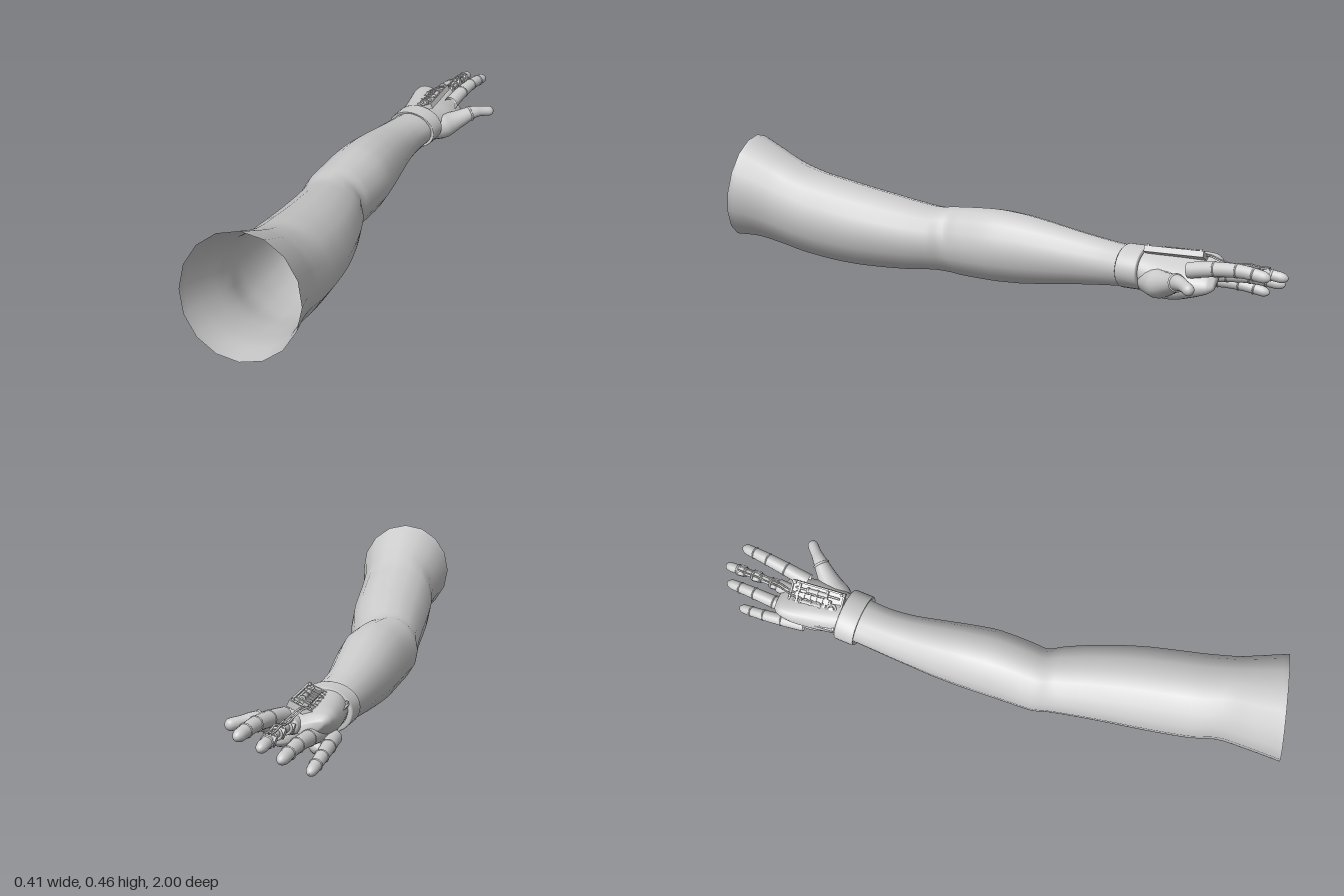
import * as THREE from 'three';

const V = (x, y, z) => new THREE.Vector3(x, y, z);
const UP = V(0, 1, 0);
const ROLL = 0.42; // the hand is rolled so the thumb side is higher
const mat = new THREE.MeshStandardMaterial({ color: 0xcccccc, side: THREE.DoubleSide });

function add(parent, name, geo) {
  const m = new THREE.Mesh(geo, mat);
  m.name = name;
  parent.add(m);
  return m;
}

// Surface through rings { p, dir, rx, ry, roll }, e < 1 makes them squarer
function loft(rings, sides, e = 1) {
  const pos = [], idx = [];
  const pw = (v) => Math.sign(v) * Math.abs(v) ** e;
  rings.forEach(({ p, dir, rx, ry, roll = 0 }, i) => {
    const d = dir.clone().normalize();
    const u = d.clone().cross(UP).normalize().applyAxisAngle(d, -roll);
    const v = u.clone().cross(d);
    for (let j = 0; j < sides; j++) {
      const a = (j / sides) * Math.PI * 2;
      const q = p.clone().addScaledVector(u, pw(Math.cos(a)) * rx).addScaledVector(v, pw(Math.sin(a)) * ry);
      pos.push(q.x, q.y, q.z);
      if (i === rings.length - 1) continue;
      const k = i * sides, b = k + j, c = k + (j + 1) % sides;
      idx.push(b, b + sides, c, c, b + sides, c + sides);
    }
  });
  const g = new THREE.BufferGeometry();
  g.setAttribute('position', new THREE.Float32BufferAttribute(pos, 3));
  g.setIndex(idx);
  g.computeVertexNormals();
  return g;
}

// Smoothly fills in rings between the given ones
function smooth(rings, n) {
  const curve = (f) => new THREE.CatmullRomCurve3(rings.map(f));
  const c = curve((r) => r.p), s = curve((r) => V(r.rx, r.ry, r.roll || 0)), d = curve((r) => r.dir);
  return Array.from({ length: n + 1 }, (_, i) => {
    const t = i / n, w = s.getPoint(t);
    return { p: c.getPoint(t), dir: d.getPoint(t), rx: w.x, ry: w.y, roll: w.z };
  });
}

// Round tapering limb with a rounded tip, over the part t0..1 of a curve
function limb(curve, radii, t0 = 0, t1 = 1, round = 0.1) {
  const n = 28, rings = [];
  for (let i = 0; i <= n; i++) {
    const s = i / n, t = t0 + (t1 - t0) * Math.sin(s * Math.PI / 2);
    const f = t * (radii.length - 1), k = Math.min(Math.floor(f), radii.length - 2);
    let r = THREE.MathUtils.lerp(radii[k], radii[k + 1], f - k);
    const e = (t - (t1 - round)) / round;
    if (e > 0) r *= Math.sqrt(Math.max(0.0001, 1 - e * e));
    rings.push({ p: curve.getPointAt(t), dir: curve.getTangentAt(t), rx: r, ry: r });
  }
  return loft(rings, 16);
}

function band(parent, name, curve, t, r, tube) {
  const m = add(parent, name, new THREE.TorusGeometry(r, tube, 6, 18));
  m.position.copy(curve.getPointAt(t));
  m.quaternion.setFromUnitVectors(V(0, 0, 1), curve.getTangentAt(t));
}

function box(parent, name, w, h, d, x, y, z) {
  add(parent, name, new THREE.BoxGeometry(w, h, d)).position.set(x, y, z);
}

function rod(parent, name, r, len, x, y, z, axis = 'z') {
  const g = new THREE.CylinderGeometry(r, r, len, 12);
  if (axis === 'z') g.rotateX(Math.PI / 2);
  if (axis === 'x') g.rotateZ(Math.PI / 2);
  return add(parent, name, g).translateX(x).translateY(y).translateZ(z);
}

export function createModel() {
  const model = new THREE.Group();
  model.name = 'arm';

  // Arm sleeve, open at both ends: z, xmin, xmax, ymin, ymax, rim tilt in x and y
  const arm = [
    [0.965, -0.205, 0.142, 0.09, 0.47, 0.1, 0.17],
    [0.88, -0.187, 0.125, 0.09, 0.43, 0.06, 0.12],
    [0.78, -0.168, 0.11, 0.068, 0.385, 0, 0.05],
    [0.7, -0.178, 0.107, 0.046, 0.355, 0, 0],
    [0.6, -0.182, 0.102, 0.03, 0.33, 0, 0],
    [0.5, -0.184, 0.095, 0.021, 0.307, 0, 0],
    [0.4, -0.186, 0.08, 0.018, 0.285, 0, 0],
    [0.3, -0.19, 0.058, 0.018, 0.262, 0, 0],
    [0.22, -0.196, 0.034, 0.021, 0.246, 0, 0],
    [0.17, -0.203, 0.014, 0.014, 0.247, 0, 0],
    [0.12, -0.2, 0.022, 0.009, 0.251, 0, 0],
    [0, -0.19, 0.036, 0.005, 0.256, 0, 0],
    [-0.1, -0.181, 0.033, 0.006, 0.247, 0, 0],
    [-0.2, -0.168, 0.026, 0.015, 0.228, 0, 0],
    [-0.3, -0.151, 0.02, 0.027, 0.207, 0, 0],
    [-0.4, -0.133, 0.025, 0.038, 0.19, -0.05, 0],
    [-0.5, -0.115, 0.045, 0.05, 0.177, -0.14, 0],
  ].map(([z, x0, x1, y0, y1, tx, ty]) => ({
    p: V((x0 + x1) / 2, (y0 + y1) / 2, z), dir: V(-tx, -ty, -1), rx: (x1 - x0) / 2, ry: (y1 - y0) / 2,
  }));
  add(model, 'armSleeve', loft(smooth(arm, 64), 16));

  // Wrist cuff with bevelled edges
  const cuff = [[-0.478, 0.86], [-0.474, 0.97], [-0.476, 0.99], [-0.48, 1], [-0.538, 1], [-0.543, 0.99], [-0.546, 0.96], [-0.546, 0.82]]
    .map(([z, s]) => ({ p: V(-0.035 - (z + 0.51) * 0.14, 0.115, z), dir: V(0.14, 0, -1), rx: 0.094 * s, ry: 0.071 * s }));
  add(model, 'wristCuff', loft(cuff, 32));

  // Palm
  const hand = new THREE.Group();
  hand.name = 'hand';
  model.add(hand);
  const palm = [
    [-0.53, -0.032, 0.115, 0.075, 0.06],
    [-0.6, -0.025, 0.11, 0.09, 0.058],
    [-0.66, -0.018, 0.108, 0.101, 0.056],
    [-0.72, -0.02, 0.115, 0.1, 0.045],
    [-0.76, -0.018, 0.12, 0.093, 0.033],
    [-0.78, -0.017, 0.12, 0.075, 0.018],
    [-0.785, -0.017, 0.12, 0.001, 0.001],
  ].map(([z, x, y, rx, ry]) => ({ p: V(x, y, z), dir: V(0, 0, -1), rx, ry, roll: -ROLL }));
  palm.forEach((r) => { r.roll = -r.roll; });
  const flip = palm.map((r) => ({ ...r, roll: -ROLL }));
  add(hand, 'palm', loft(smooth(flip, 36), 32, 0.88));

  // Thumb and its muscle
  const thumb = new THREE.CatmullRomCurve3([
    V(0.01, 0.085, -0.56), V(0.05, 0.088, -0.61), V(0.095, 0.104, -0.655), V(0.135, 0.12, -0.69), V(0.17, 0.119, -0.72), V(0.203, 0.114, -0.745)]);
  add(hand, 'thumb', limb(thumb, [0.04, 0.048, 0.037, 0.028, 0.019, 0.019], 0, 1, 0.07));
  band(hand, 'thumbBand', thumb, 0.64, 0.026, 0.004);
  const heel = add(hand, 'thumbMuscle', new THREE.SphereGeometry(1, 20, 14));
  heel.scale.set(0.045, 0.036, 0.08);
  heel.position.set(0.035, 0.075, -0.64);
  const heel2 = add(hand, 'palmHeel', new THREE.SphereGeometry(1, 20, 14));
  heel2.scale.set(0.04, 0.036, 0.085);
  heel2.position.set(-0.06, 0.063, -0.66);

  // Clad fingers with seam bands at the joints
  const curveOf = (...p) => new THREE.CatmullRomCurve3(p.map((q) => V(...q)));
  const fingers = {
    indexFinger: [curveOf([0.045, 0.14, -0.7], [0.062, 0.155, -0.78], [0.083, 0.162, -0.87], [0.105, 0.153, -0.96]), 0.024],
    ringFinger: [curveOf([-0.062, 0.1, -0.71], [-0.052, 0.112, -0.79], [-0.038, 0.117, -0.88], [-0.02, 0.106, -0.985]), 0.023],
    littleFinger: [curveOf([-0.095, 0.08, -0.68], [-0.097, 0.08, -0.76], [-0.094, 0.074, -0.84], [-0.084, 0.058, -0.928]), 0.021],
  };
  for (const [name, [curve, r]] of Object.entries(fingers)) {
    add(hand, name, limb(curve, [r * 1.1, r, r * 0.88, r * 0.75]));
    [0.33, 0.6, 0.8].forEach((t) => band(hand, name + 'Band', curve, t, r * (1.06 - t * 0.3), 0.0028));
  }

  // Bare mechanical middle finger
  const mid = curveOf([-0.008, 0.125, -0.72], [0.003, 0.142, -0.8], [0.015, 0.15, -0.89], [0.03, 0.139, -1]);
  add(hand, 'middleFingerCore', limb(mid, [0.018, 0.013, 0.012, 0.012], 0, 0.85));
  add(hand, 'middleFingertip', limb(mid, [0.022, 0.02, 0.018, 0.0165], 0.78, 1, 0.09));
  add(hand, 'middleFingerBase', limb(mid, [0.026, 0.024, 0.022, 0.02], 0, 0.3, 0.04));
  [0.32, 0.56, 0.77].forEach((t) => {
    const p = mid.getPointAt(t);
    const j = rod(hand, 'middleFingerJoint', 0.015, 0.038, p.x, p.y, p.z, 'x');
    j.rotation.z = ROLL * 0.6;
    band(hand, 'middleFingerBand', mid, t + 0.05, 0.016, 0.004);
    band(hand, 'middleFingerBand', mid, t - 0.06, 0.015, 0.003);
  });
  [-1, 1].forEach((s) => {
    const pts = [0.15, 0.32, 0.44, 0.56, 0.66, 0.8].map((t, i) => mid.getPointAt(t).add(V(s * 0.008, i % 2 ? 0.019 : 0.015, 0)));
    add(hand, 'fingerTendon', new THREE.TubeGeometry(new THREE.CatmullRomCurve3(pts), 30, 0.003, 6));
  });

  // Mechanism panel on the back of the hand
  const panel = new THREE.Group();
  panel.name = 'backPanel';
  panel.position.set(-0.043, 0.161, -0.645);
  panel.rotation.set(0, -0.04, ROLL);
  hand.add(panel);
  box(panel, 'panelFloor', 0.13, 0.012, 0.18, 0, -0.003, 0);
  [-1, 1].forEach((s) => {
    box(panel, 'panelSideRail', 0.006, 0.02, 0.19, s * 0.065, 0.001, 0);
    box(panel, 'panelEndRail', 0.136, 0.02, 0.006, 0, 0.001, s * 0.093);
    [-1, 1].forEach((t) => rod(panel, 'panelBolt', 0.005, 0.008, s * 0.06, 0.013, t * 0.085, 'y'));
  });
  [-0.045, -0.022, 0.001, 0.045].forEach((x, i) => {
    const z = i === 3 ? 0 : -0.015;
    rod(panel, 'pistonRod', 0.0035, 0.16, x, 0.009, 0);
    rod(panel, 'piston', 0.008, 0.07, x, 0.009, z);
    [-0.035, 0, 0.035].forEach((d) => rod(panel, 'pistonCollar', 0.01, 0.007, x, 0.009, z + d));
  });
  [-0.065, 0.035].forEach((z) => box(panel, 'crossBrace', 0.12, 0.008, 0.008, 0, 0.012, z));
  box(panel, 'railBlock', 0.016, 0.014, 0.13, 0.024, 0.01, -0.01);
  for (let i = 0; i < 6; i++) box(panel, 'railTooth', 0.02, 0.005, 0.008, 0.024, 0.018, -0.065 + i * 0.022);
  const dial = add(panel, 'dial', new THREE.TorusGeometry(0.015, 0.004, 8, 20).rotateX(Math.PI / 2));
  dial.position.set(0.005, 0.014, 0.062);
  rod(panel, 'dialHub', 0.008, 0.016, 0.005, 0.01, 0.062, 'y');

  // Cables from the panel to the middle finger
  [-0.006, 0.006].forEach((o) => add(hand, 'cable', new THREE.TubeGeometry(
    curveOf([-0.03 + o, 0.175, -0.71], [-0.018 + o, 0.178, -0.75], [-0.003 + o, 0.168, -0.79], [0.005 + o, 0.16, -0.83]), 20, 0.003, 6)));

  return model;
}
